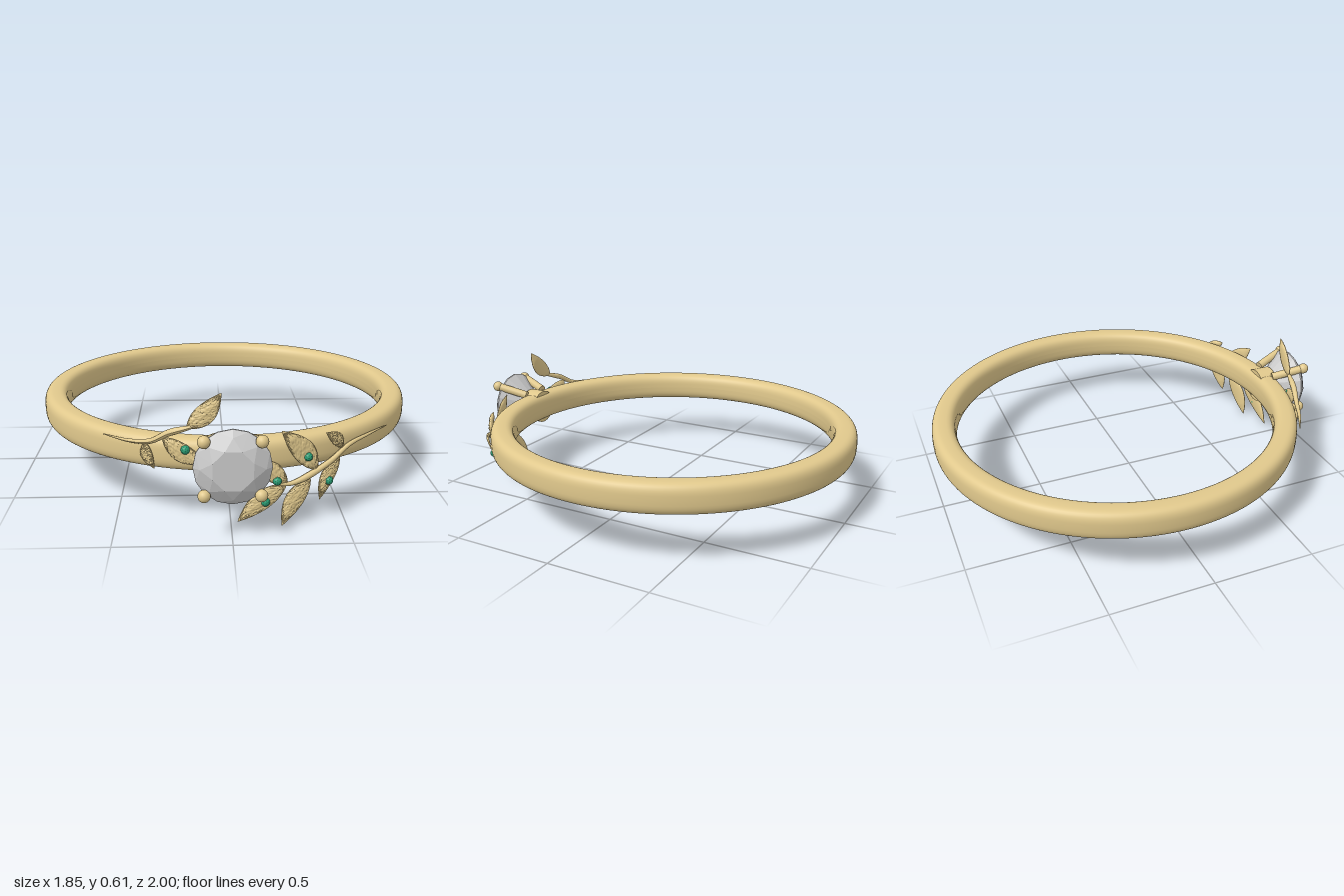
import * as THREE from 'three';
import { ConvexGeometry } from 'three/addons/geometries/ConvexGeometry.js';

const CY = 0.326;   // height of the band's middle
const CZ = -0.077;  // centre of the band
const WRAP = 0.93;  // radius on which vines and leaves lie

const gold = new THREE.MeshStandardMaterial({ color: 0xe0c88c });
const stone = new THREE.MeshStandardMaterial({ color: 0xcccccc, flatShading: true });
const green = new THREE.MeshStandardMaterial({ color: 0x2a9d74, flatShading: true });

// Point given in the front plane, bent onto the band's cylinder
function wrap(x, y, lift = 0) {
  const r = WRAP + lift;
  return new THREE.Vector3(x, y, Math.sqrt(r * r - x * x) + CZ);
}

function add(parent, name, geometry, material) {
  const mesh = new THREE.Mesh(geometry, material);
  mesh.name = name;
  parent.add(mesh);
  return mesh;
}

const hash = (i, j) => {
  const s = Math.sin(i * 12.9898 + j * 78.233) * 43758.5453;
  return s - Math.floor(s);
};

// Band: rounded-rectangle section turned about the vertical axis
function bandGeometry() {
  const pts = [];
  const soft = (v) => Math.sign(v) * Math.abs(v) ** (2 / 3);
  for (let i = 0; i <= 40; i++) {
    const a = (i / 40) * Math.PI * 2 + Math.PI;
    pts.push(new THREE.Vector2(0.864 + 0.059 * soft(Math.cos(a)), 0.073 * soft(Math.sin(a))));
  }
  return new THREE.LatheGeometry(pts, 128);
}

// Round brilliant, table facing +z
function brilliantGeometry() {
  const pts = [new THREE.Vector3(0, 0, 0.775)];
  const ring = (n, r, z, turn = 0) => {
    for (let i = 0; i < n; i++) {
      const a = ((i + turn) / n) * Math.PI * 2;
      pts.push(new THREE.Vector3(r * Math.cos(a), r * Math.sin(a), z));
    }
  };
  ring(8, 0.09, 1.0, 0.5);
  ring(8, 0.135, 0.976);
  ring(16, 0.163, 0.95);
  ring(16, 0.163, 0.942);
  ring(8, 0.09, 0.866, 0.5);
  return new ConvexGeometry(pts);
}

// Tapering stem along points in the front plane
function vineGeometry(points, radius, startScale) {
  const curve = new THREE.CatmullRomCurve3(points.map(([x, y]) => wrap(x, y, 0.004)));
  const rings = 60, sides = 10;
  const geo = new THREE.TubeGeometry(curve, rings, radius, sides);
  const pos = geo.attributes.position, p = new THREE.Vector3();
  for (let i = 0; i <= rings; i++) {
    const t = i / rings, c = curve.getPointAt(t);
    const s = Math.min(1, startScale + t * 3) * (1 - 0.88 * t ** 1.6);
    for (let j = 0; j <= sides; j++) {
      const k = i * (sides + 1) + j;
      p.fromBufferAttribute(pos, k).sub(c).multiplyScalar(s).add(c);
      pos.setXYZ(k, p.x, p.y, p.z);
    }
  }
  geo.computeVertexNormals();
  return geo;
}

// Pointed leaf with a raised rim, a midrib and a grainy front
function leafGeometry([bx, by], [tx, ty], halfWidth) {
  const geo = new THREE.CylinderGeometry(1, 1, 1, 56, 44, true, Math.PI);
  const pos = geo.attributes.position;
  const dx = tx - bx, dy = ty - by, len = Math.hypot(dx, dy);
  for (let k = 0; k < pos.count; k++) {
    const u = pos.getY(k) + 0.5, v = pos.getX(k), d = pos.getZ(k);
    const w = halfWidth * Math.sin(Math.PI * Math.min(1, u) ** 0.85) ** 0.9 || 0;
    const body = Math.min(1, w / halfWidth * 1.5);
    let depth = 0.012 * d * body;
    const inField = d > 0.4 && Math.abs(v) > 0.07 && body > 0.4;
    if (inField) depth += (hash(Math.round(v * 60), Math.round(u * 60)) - 0.8) * 0.007;
    const bow = 0.012 * Math.sin(Math.PI * u); // gentle sideways sweep
    const side = v * w + bow;
    const q = wrap(bx + dx * u + (dy / len) * side, by + dy * u - (dx / len) * side, 0.003 + depth);
    pos.setXYZ(k, q.x, q.y, q.z);
  }
  geo.computeVertexNormals();
  return geo;
}

function rod(parent, name, a, b, r) {
  const geo = new THREE.CylinderGeometry(r, r, a.distanceTo(b), 16);
  const mesh = add(parent, name, geo, gold);
  mesh.position.copy(a).lerp(b, 0.5);
  mesh.quaternion.setFromUnitVectors(new THREE.Vector3(0, 1, 0), b.clone().sub(a).normalize());
}

export function createModel() {
  const model = new THREE.Group();
  model.name = 'ring';

  add(model, 'band', bandGeometry(), gold).position.set(0, CY - 0.001, CZ);

  // Setting: collar, four prongs with ball tips, stone
  const setting = new THREE.Group();
  setting.name = 'setting';
  setting.position.y = CY;
  model.add(setting);
  const collar = add(setting, 'collar', new THREE.CylinderGeometry(0.088, 0.088, 0.09, 40), gold);
  collar.rotation.x = Math.PI / 2;
  collar.position.z = 0.795;
  add(setting, 'centreStone', brilliantGeometry(), stone);
  for (const sx of [-1, 1]) {
    for (const sy of [-1, 1]) {
      const foot = new THREE.Vector3(sx * 0.07, sy * 0.075, 0.81);
      const tip = new THREE.Vector3(sx * 0.117, sy * 0.117, 0.97);
      rod(setting, 'prong', foot, tip, 0.021);
      add(setting, 'prongTip', new THREE.SphereGeometry(0.027, 20, 14), gold).position.copy(tip);
    }
  }

  // Vines, from the setting to the fine end
  const vines = [
    ['leftVine', [[0.2, 0.2], [0.25, 0.196], [0.31, 0.212], [0.43, 0.268], [0.52, 0.325], [0.61, 0.343], [0.727, 0.344]]],
    ['rightVine', [[-0.15, 0.468], [-0.19, 0.455], [-0.262, 0.43], [-0.34, 0.386], [-0.43, 0.374], [-0.55, 0.379]]],
  ];
  for (const [name, pts] of vines) add(model, name, vineGeometry(pts, 0.016, 0.4), gold);

  // Leaves: base, tip, half width, optional small stone
  const leaves = [
    [[0.235, 0.195], [0.025, 0.037], 0.045, [0.144, 0.126]],
    [[0.34, 0.212], [0.218, 0.002], 0.045],
    [[0.475, 0.285], [0.386, 0.097], 0.036, [0.426, 0.182]],
    [[0.372, 0.24], [0.208, 0.438], 0.047, [0.327, 0.31]],
    [[0.49, 0.318], [0.406, 0.402], 0.027],
    [[0.24, 0.197], [0.07, 0.31], 0.042, [0.193, 0.217]],
    [[-0.29, 0.405], [-0.1, 0.3], 0.042, [-0.193, 0.363]],
    [[-0.365, 0.378], [-0.325, 0.262], 0.027],
    [[-0.185, 0.455], [-0.042, 0.612], 0.043],
  ];
  for (const [base, tip, width, gem] of leaves) {
    add(model, 'leaf', leafGeometry(base, tip, width), gold);
    if (!gem) continue;
    const bead = add(model, 'leafStone', new THREE.IcosahedronGeometry(0.02, 1), green);
    bead.position.copy(wrap(gem[0], gem[1], 0.01));
  }
  return model;
}
